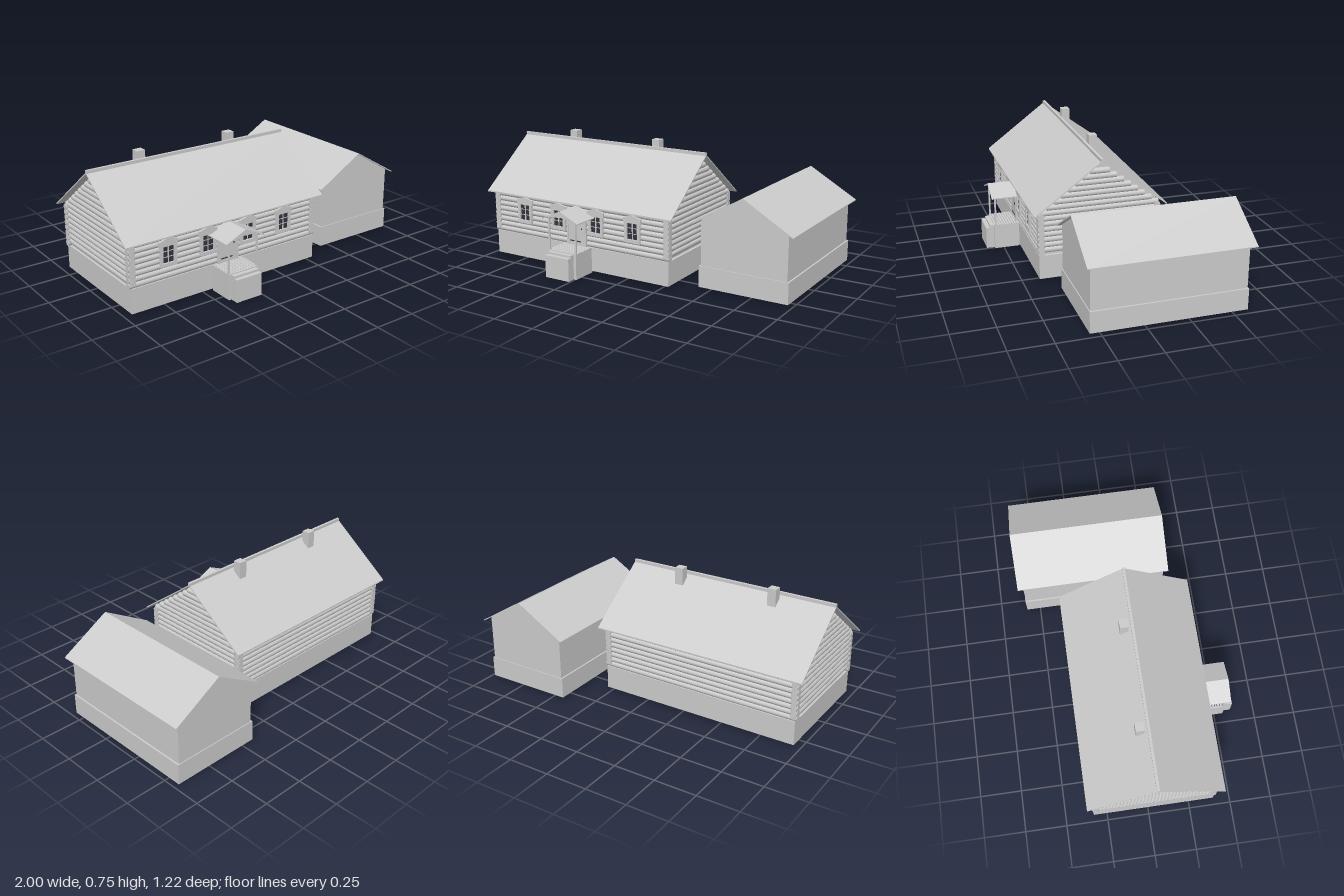
import * as THREE from 'three';

export function createModel() {
  const model = new THREE.Group();
  const grey = new THREE.MeshStandardMaterial({ color: 0xcccccc });
  grey.name = 'light grey';
  const glass = new THREE.MeshStandardMaterial({ color: 0x34343e });
  glass.name = 'dark glass';

  const add = (parent, name, geometry, material = grey) => {
    const mesh = new THREE.Mesh(geometry, material);
    mesh.name = name;
    parent.add(mesh);
    return mesh;
  };
  const group = (name, parent = model) => {
    const g = new THREE.Group();
    g.name = name;
    parent.add(g);
    return g;
  };
  // Box given by its minimum and maximum on each axis
  const box = (parent, name, x0, x1, y0, y1, z0, z1, material) =>
    add(parent, name, new THREE.BoxGeometry(x1 - x0, y1 - y0, z1 - z0)
      .translate((x0 + x1) / 2, (y0 + y1) / 2, (z0 + z1) / 2), material);
  // Upright outline extruded along z, or along x (the outline then runs in z and y)
  const prism = (parent, name, points, from, to, axis = 'z') => {
    const shape = new THREE.Shape(points.map(p => new THREE.Vector2(...p)));
    const g = new THREE.ExtrudeGeometry(shape, { depth: to - from, bevelEnabled: false });
    if (axis === 'z') g.translate(0, 0, from);
    else g.rotateY(-Math.PI / 2).translate(to, 0, 0);
    return add(parent, name, g);
  };
  const chevron = (c, half, eave, peak, t) => [
    [c - half, eave], [c - half, eave - t], [c, peak - t], [c + half, eave - t], [c + half, eave], [c, peak]];
  const pentagon = (c, half, base, eave, peak) => [
    [c - half, base], [c + half, base], [c + half, eave], [c, peak], [c - half, eave]];

  // ---------- Log house ----------
  const house = group('logHouse');
  const ridgeZ = 0.035, peak = 0.707, slope = 0.745, r = 0.018, pitch = 0.032;
  box(house, 'foundation', -0.96, 0.285, 0.01, 0.155, -0.33, 0.4);
  prism(house, 'wallCore', pentagon(ridgeZ, 0.348, 0.15, 0.43, 0.69), -0.948, 0.268, 'x');

  const log = (parent, name, axis, length, x, y, z) => {
    const g = new THREE.CylinderGeometry(r, r, length, 10);
    if (axis === 'x') g.rotateZ(Math.PI / 2); else g.rotateX(Math.PI / 2);
    add(parent, name, g.translate(x, y, z));
  };
  // Long walls
  const logs = group('logWalls', house);
  for (let i = 0; i < 8; i++) {
    const y = 0.171 + i * pitch;
    for (const z of [-0.315, 0.385]) log(logs, 'longLog', 'x', 1.26, -0.34, y, z);
  }
  // End walls, offset by half a course and trimmed under the roof
  for (let i = 0; i < 16; i++) {
    const y = 0.187 + i * pitch;
    const half = Math.min(0.37, (peak - 0.012 - y - r) / slope);
    if (half < 0.02) break;
    for (const x of [-0.948, 0.27]) log(logs, 'endLog', 'z', half * 2, x, y, ridgeZ);
  }

  prism(house, 'roof', chevron(ridgeZ, 0.397, 0.411, peak, 0.008), -1, 0.32, 'x');
  box(house, 'ridgeBoard', -1, 0.32, 0.698, 0.719, 0.027, 0.043);
  for (const x of [-0.645, -0.04]) box(house, 'chimney', x - 0.026, x + 0.026, 0.6, 0.755, -0.04, 0.01);

  // ---------- Windows ----------
  for (const x of [-0.73, -0.475, -0.205, 0.05]) {
    const w = group('window', house);
    box(w, 'glassPane', -0.036, 0.036, 0.25, 0.352, 0.395, 0.403, glass);
    for (const s of [-1, 1]) box(w, 'sideCasing', s * 0.043 - 0.009, s * 0.043 + 0.009, 0.235, 0.36, 0.385, 0.412);
    box(w, 'sill', -0.052, 0.052, 0.232, 0.252, 0.385, 0.414);
    prism(w, 'headCasing', [[-0.058, 0.348], [0.058, 0.348], [0.058, 0.378], [0, 0.395], [-0.058, 0.378]], 0.385, 0.412);
    box(w, 'mullion', -0.003, 0.003, 0.25, 0.35, 0.4, 0.407);
    for (const y of [0.285, 0.318]) box(w, 'glazingBar', -0.036, 0.036, y - 0.0015, y + 0.0015, 0.4, 0.406);
    w.position.x = x;
  }

  // ---------- Porch ----------
  const porch = group('porch', house);
  const px = -0.342;
  porch.position.x = px;
  // Hollow platform with plank deck
  for (const s of [-1, 1]) box(porch, 'platformSide', s * 0.096 - 0.004, s * 0.096 + 0.004, 0, 0.148, 0.4, 0.555);
  box(porch, 'platformFront', -0.1, 0.1, 0, 0.148, 0.547, 0.555);
  for (let i = 0; i < 10; i++) {
    const z = 0.401 + i * 0.0155;
    box(porch, 'deckPlank', -0.1, 0.1, 0.146, 0.154, z, z + 0.0125);
  }
  // Hollow steps
  [[0.555, 0.58, 0.149], [0.58, 0.605, 0.135]].forEach(([z0, z1, h]) => {
    box(porch, 'stepTread', -0.083, 0.083, h - 0.008, h, z0, z1);
    box(porch, 'stepRiser', -0.083, 0.083, 0, h - 0.008, z1 - 0.006, z1);
    for (const s of [-1, 1]) box(porch, 'stepSide', s * 0.08 - 0.003, s * 0.08 + 0.003, 0, h - 0.008, z0, z1 - 0.006);
  });
  // Posts, beams and gabled roof
  for (const s of [-1, 1]) {
    box(porch, 'post', s * 0.094 - 0.005, s * 0.094 + 0.005, 0.15, 0.35, 0.54, 0.55);
    box(porch, 'sideBeam', s * 0.094 - 0.005, s * 0.094 + 0.005, 0.338, 0.35, 0.4, 0.55);
  }
  prism(porch, 'porchGable', [[-0.1, 0.35], [0, 0.355], [0.1, 0.35], [0, 0.392]], 0.54, 0.55);
  prism(porch, 'porchRoof', chevron(0, 0.127, 0.342, 0.399, 0.006), 0.4, 0.57);

  // Door
  const door = group('door', house);
  door.position.x = px;
  box(door, 'doorLeaf', -0.058, 0.058, 0.155, 0.345, 0.385, 0.408);
  box(door, 'doorBottomGap', -0.048, 0.03, 0.177, 0.183, 0.405, 0.41, glass);
  box(door, 'doorHandle', 0.035, 0.041, 0.255, 0.265, 0.405, 0.413, glass);
  for (const s of [-1, 1]) box(door, 'doorCasing', s * 0.063 - 0.006, s * 0.063 + 0.006, 0.155, 0.352, 0.385, 0.412);
  box(door, 'doorHead', -0.069, 0.069, 0.345, 0.362, 0.385, 0.412);

  // ---------- Outbuilding ----------
  const shed = group('outbuilding');
  box(shed, 'shedBase', 0.43, 0.975, 0.01, 0.135, -0.585, 0.31);
  prism(shed, 'shedWalls', pentagon(0.7025, 0.2625, 0.13, 0.404, 0.56), -0.58, 0.305);
  prism(shed, 'shedRoof', chevron(0.703, 0.297, 0.391, 0.565, 0.006), -0.61, 0.33);

  return model;
}
